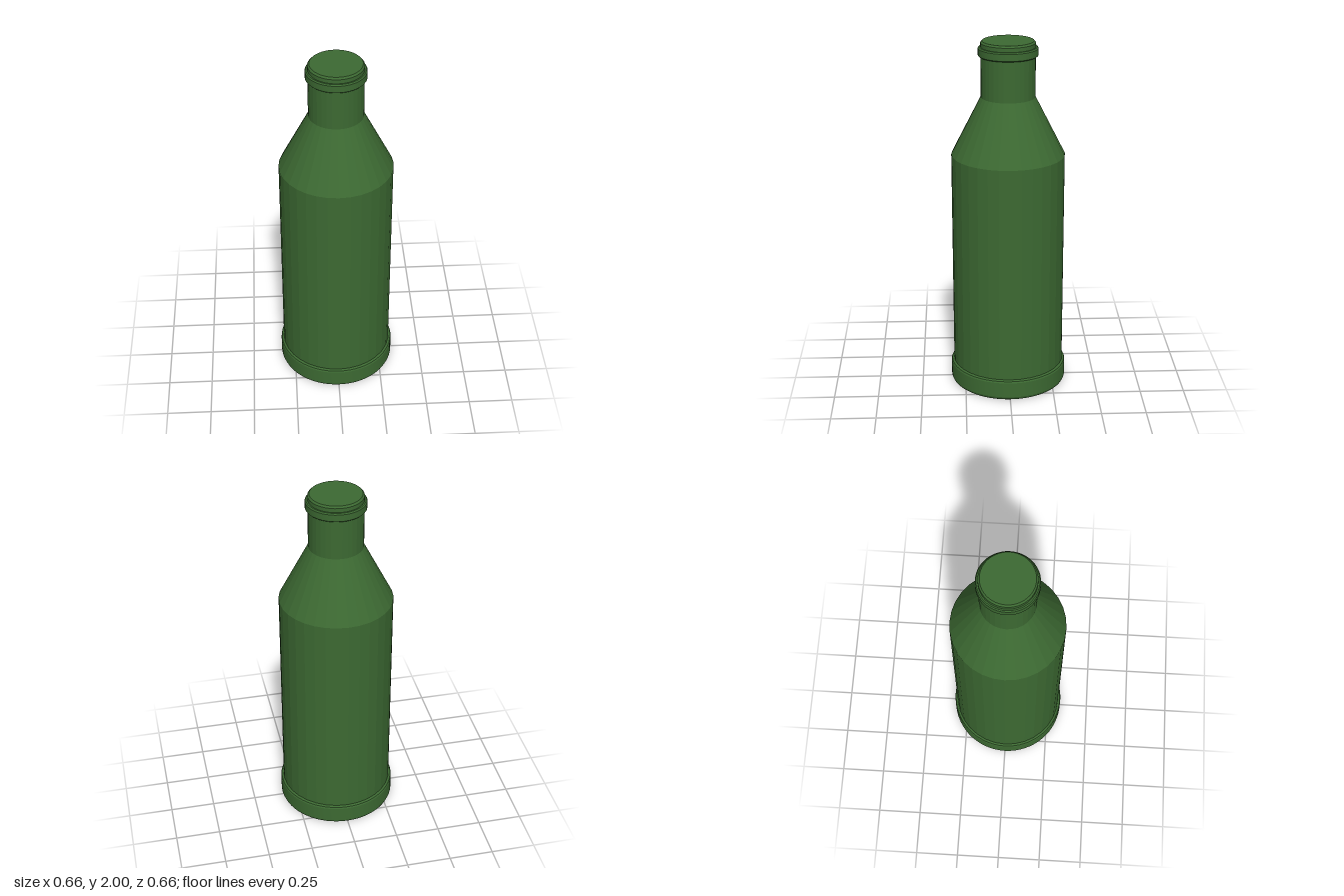
import * as THREE from 'three';
import { toCreasedNormals } from 'three/addons/utils/BufferGeometryUtils.js';

const glass = new THREE.MeshStandardMaterial({ color: 0x3c6932 });
glass.name = 'green glass';

// Turn a bottom-to-top [radius, height] profile; edges sharper than crease stay hard
function turned(name, profile, sides, crease) {
  const points = profile.map(([r, y]) => new THREE.Vector2(r, y));
  const geometry = toCreasedNormals(new THREE.LatheGeometry(points, sides), crease);
  const mesh = new THREE.Mesh(geometry, glass);
  mesh.name = name;
  return mesh;
}

export function createModel() {
  const group = new THREE.Group();
  group.name = 'bottle';
  const faceted = 0.05, smooth = 0.35;

  // Foot with a bevelled underside and top edge
  group.add(turned('foot', [
    [0, 0], [0.315, 0], [0.325, 0.008], [0.33, 0.02],
    [0.33, 0.108], [0.326, 0.117], [0.316, 0.123], [0, 0.123],
  ], 64, smooth));

  // Straight body, sloping shoulder and neck
  group.add(turned('body', [
    [0.315, 0.11], [0.315, 1.365], [0.15, 1.69], [0.15, 1.93],
  ], 32, faceted));

  // Collar around the mouth
  group.add(turned('collar', [
    [0.148, 1.917], [0.159, 1.917], [0.164, 1.922],
    [0.164, 1.96], [0.158, 1.967], [0.148, 1.967],
  ], 48, smooth));

  // Closed lip above the collar
  group.add(turned('lip', [
    [0.15, 1.96], [0.15, 1.99], [0.141, 2], [0, 2],
  ], 48, smooth));

  return group;
}
